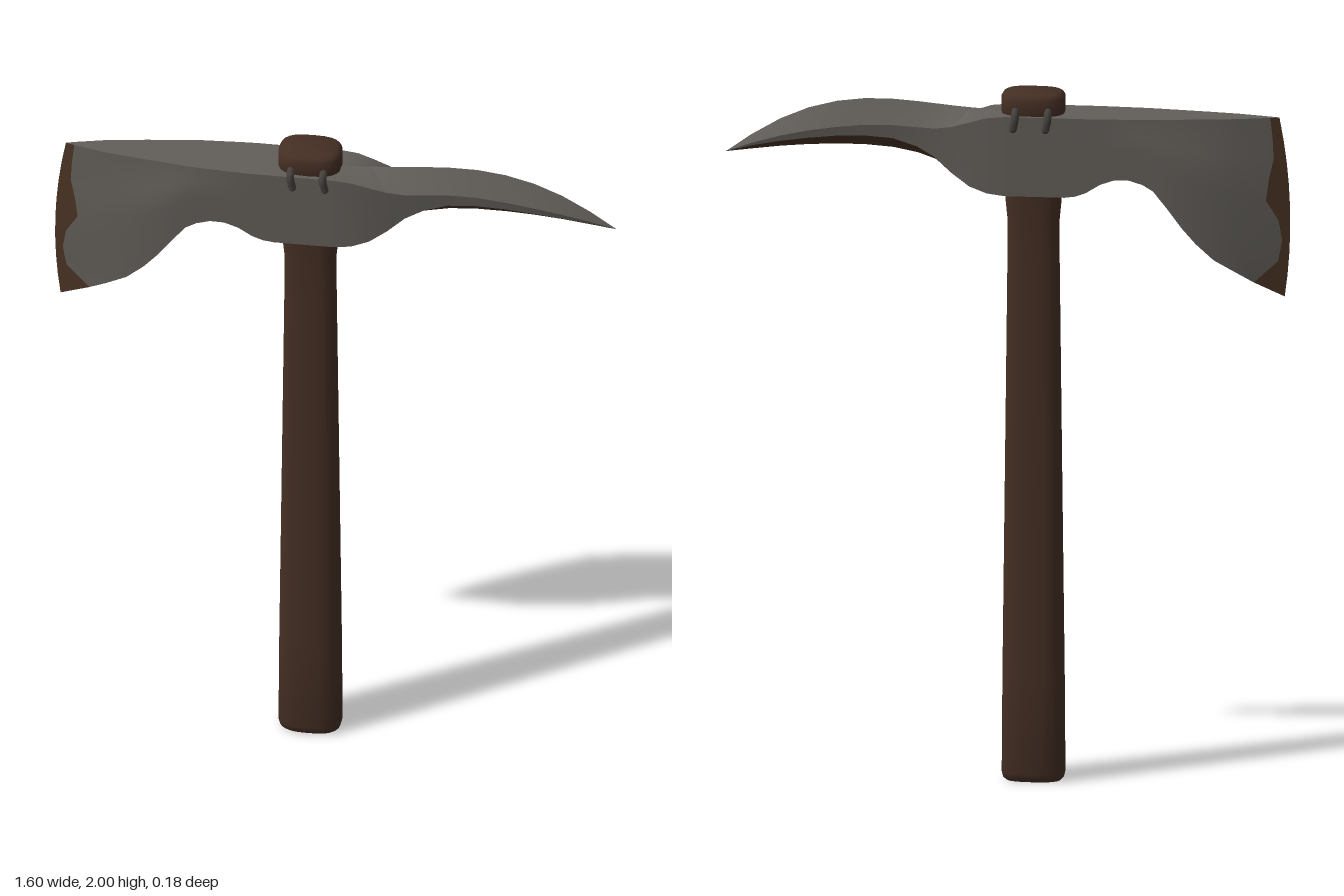
import * as THREE from 'three';
import { toCreasedNormals } from 'three/addons/utils/BufferGeometryUtils.js';

const material = (name, color) => new THREE.MeshStandardMaterial({ name, color });

// Surface through columns of [x, y, z] points
function grid(cols, flip = false, crease = 0.45) {
  const rows = cols[0].length, index = [];
  for (let i = 0; i < cols.length - 1; i++) {
    for (let j = 0; j < rows - 1; j++) {
      const a = i * rows + j, b = a + rows;
      if (flip) index.push(a, b + 1, b, a, a + 1, b + 1);
      else index.push(a, b, b + 1, a, b + 1, a + 1);
    }
  }
  const g = new THREE.BufferGeometry();
  g.setAttribute('position', new THREE.Float32BufferAttribute(cols.flat(2), 3));
  g.setIndex(index);
  return toCreasedNormals(g, crease);
}

const mirrorZ = cols => cols.map(c => c.map(([x, y, z]) => [x, y, -z]));

// Piecewise-linear lookup in [x, value] pairs with falling x
function lookup(pairs, x) {
  for (let i = 1; i < pairs.length; i++) {
    const [x0, v0] = pairs[i - 1], [x1, v1] = pairs[i];
    if (x >= x1) return THREE.MathUtils.mapLinear(x, x0, x1, v0, v1);
  }
  return pairs[pairs.length - 1][1];
}

// Rounded-oblong rings stacked along y: [y, half width, half depth]
function oblongLoft(sections, cx) {
  const n = 24, p = 2 / 2.8;
  const ring = ([y, rx, rz]) => Array.from({ length: n + 1 }, (_, k) => {
    const a = (k % n) / n * Math.PI * 2, c = Math.cos(a), s = Math.sin(a);
    return [cx + rx * Math.sign(c) * Math.abs(c) ** p, y, rz * Math.sign(s) * Math.abs(s) ** p];
  });
  return grid(sections.map(ring), false, 0.7);
}

export function createModel() {
  const model = new THREE.Group();
  const steel = material('steel', 0x625e59);
  const rust = material('rust', 0x4a3424);
  const wood = material('wood', 0x452f24);
  const darkSteel = material('dark steel', 0x45403c);
  const add = (name, geometry, mat, parent = model) => {
    const mesh = new THREE.Mesh(geometry, mat);
    mesh.name = name;
    parent.add(mesh);
    return mesh;
  };
  const cx = -0.075;

  // Tapered handle and the end that stands out of the eye
  add('handle', oblongLoft([
    [0, 0, 0], [0, 0.078, 0.048], [0.008, 0.086, 0.056], [0.025, 0.09, 0.06], [0.3, 0.088, 0.058],
    [0.9, 0.081, 0.049], [1.5, 0.074, 0.04], [1.63, 0.074, 0.04], [1.68, 0.079, 0.043], [1.75, 0.08, 0.045],
  ], cx), wood);
  add('handleTop', oblongLoft([
    [1.93, 0.086, 0.06], [1.945, 0.09, 0.065], [1.985, 0.09, 0.065], [1.995, 0.085, 0.06], [2, 0.077, 0.052], [2, 0, 0],
  ], cx), wood);

  const head = new THREE.Group();
  head.name = 'head';
  model.add(head);

  // Blade columns, from the eye to the cutting edge
  const rows = 8, top = 1.94;
  const bottom = [[0, 1.71], [-0.17, 1.71], [-0.2, 1.714], [-0.23, 1.725], [-0.27, 1.75], [-0.31, 1.764],
    [-0.35, 1.765], [-0.39, 1.753], [-0.42, 1.735], [-0.46, 1.685], [-0.5, 1.63], [-0.54, 1.583],
    [-0.59, 1.535], [-0.65, 1.498]];
  const topWidth = [[0, 0.075], [-0.25, 0.075], [-0.4, 0.066], [-0.55, 0.046], [-0.65, 0.031]];
  const midWidth = [[0, 0.075], [-0.48, 0.075], [-0.54, 0.068], [-0.6, 0.057], [-0.65, 0.045]];
  const rowList = f => Array.from({ length: rows + 1 }, (_, j) => f(j / rows, j));
  const blade = bottom.map(([x, yb]) => rowList(t => {
    const k = THREE.MathUtils.smoothstep(t, 0, 0.45);
    return [x, top + (yb - top) * t, THREE.MathUtils.lerp(lookup(topWidth, x), lookup(midWidth, x), k)];
  }));
  const edgeX = t => -0.77 - 0.015 * t - 0.09 * t * (1 - t);
  const rustWidth = [0.025, 0.03, 0.036, 0.055, 0.066, 0.032, 0.02, 0.026, 0.085];
  const wornLine = rowList((t, j) => [edgeX(t) + rustWidth[j], top - 0.475 * t, 0.3 * rustWidth[j]]);
  const edge = rowList(t => [edgeX(t), top - 0.52 * t, 0]);
  blade.push(wornLine);

  // Both cheeks and the worn strips along the cutting edge
  add('bladeFront', grid(blade), steel, head);
  add('bladeBack', grid(mirrorZ(blade), true), steel, head);
  add('rustyEdgeFront', grid([wornLine, edge]), rust, head);
  add('rustyEdgeBack', grid(mirrorZ([wornLine, edge]), true), rust, head);

  // Top and underside close the blade
  const across = j => [...blade, edge].map(c => {
    const [x, y, z] = c[j];
    return [[x, y, z], [x, y, -z]];
  });
  add('bladeTop', grid(across(0), true), steel, head);
  add('bladeUnderside', grid(across(rows)), rust, head);

  // Spike sections: x, ridge y, shoulder y, lower edge y, keel y, shoulder z, lower z
  const spike = [
    [0, 1.94, 1.94, 1.71, 1.71, 0.075, 0.075],
    [0.05, 1.943, 1.935, 1.716, 1.716, 0.074, 0.073],
    [0.1, 1.946, 1.92, 1.733, 1.731, 0.069, 0.066],
    [0.15, 1.95, 1.904, 1.768, 1.76, 0.062, 0.058],
    [0.2, 1.955, 1.896, 1.812, 1.793, 0.055, 0.05],
    [0.25, 1.96, 1.897, 1.84, 1.811, 0.049, 0.044],
    [0.32, 1.965, 1.9, 1.861, 1.825, 0.044, 0.039],
    [0.4, 1.965, 1.898, 1.866, 1.831, 0.041, 0.037],
    [0.48, 1.955, 1.889, 1.863, 1.831, 0.04, 0.036],
    [0.56, 1.934, 1.876, 1.854, 1.827, 0.038, 0.034],
    [0.64, 1.9, 1.857, 1.841, 1.82, 0.031, 0.027],
    [0.72, 1.853, 1.831, 1.823, 1.81, 0.017, 0.015],
    [0.795, 1.8, 1.8, 1.8, 1.8, 0, 0],
  ];
  const roof = spike.map(([x, r, s, , , zs]) => [[x, r, 0], [x, s, zs]]);
  const side = spike.map(([x, , s, l, , zs, zl]) => [[x, s, zs], [x, l, zl]]);
  const under = spike.map(([x, , , l, k, , zl]) => [[x, l, zl], [x, k, 0]]);
  for (const [name, cols, mat] of [['spikeTop', roof, steel], ['spikeSide', side, steel], ['spikeUnderside', under, rust]]) {
    add(name + 'Front', grid(cols, true), mat, head);
    add(name + 'Back', grid(mirrorZ(cols)), mat, head);
  }

  // Bent staples that pin the handle top to the head
  for (const x of [-0.122, -0.03]) {
    for (const s of [1, -1]) {
      const path = new THREE.CatmullRomCurve3([[1.955, 0.055], [1.95, 0.07], [1.935, 0.077], [1.905, 0.075]]
        .map(([y, z], i) => new THREE.Vector3(x + (i === 3 ? 0.006 : 0), y, s * z)));
      add('staple', new THREE.TubeGeometry(path, 8, 0.011, 8), darkSteel);
      const tip = add('stapleTip', new THREE.SphereGeometry(0.011, 8, 6), darkSteel);
      tip.position.set(x + 0.006, 1.905, s * 0.075);
    }
  }
  return model;
}
